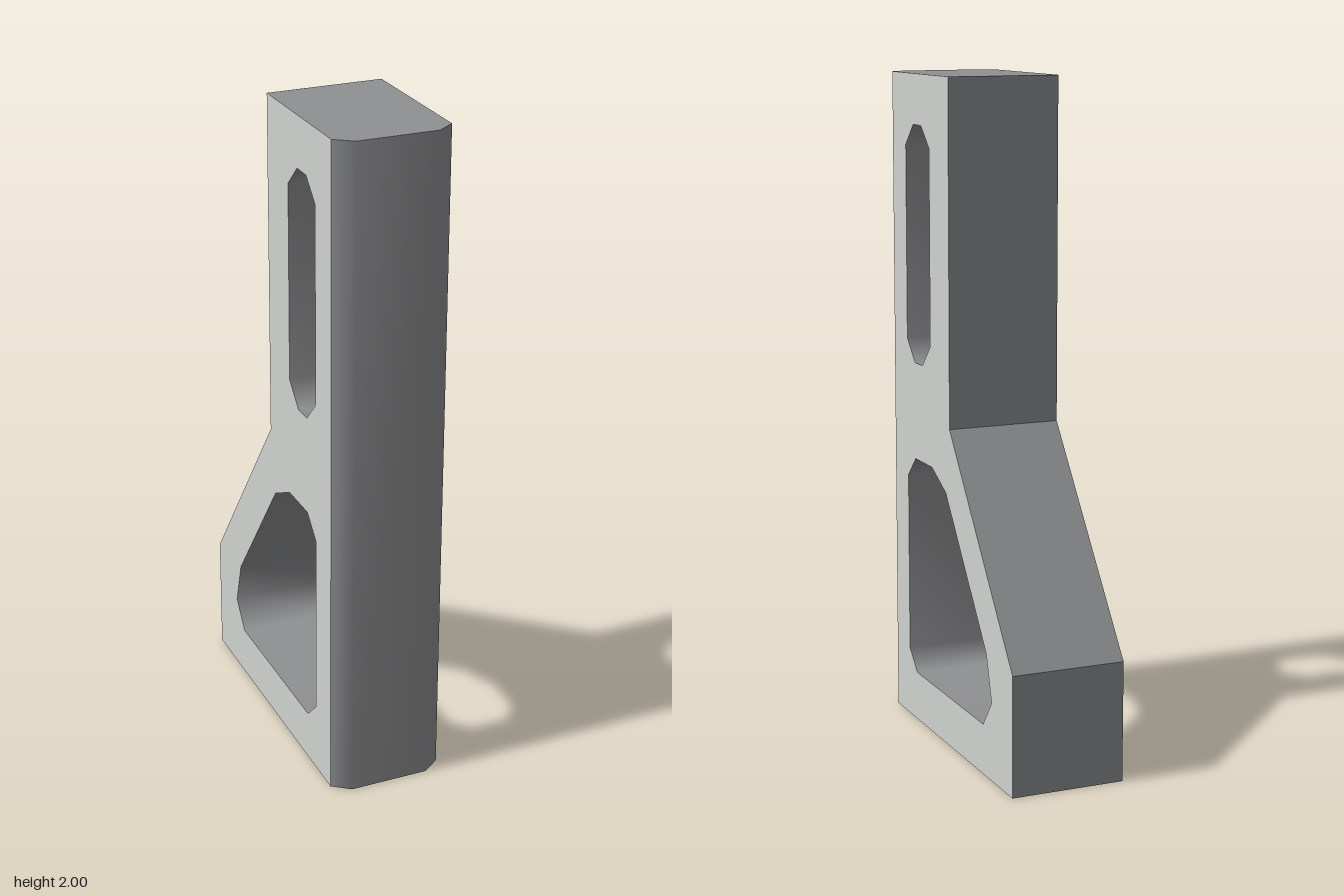
import * as THREE from 'three';
import { mergeVertices } from 'three/addons/utils/BufferGeometryUtils.js';

const W = 0.173;       // half width
const FRONT = 0.475;   // front plane
const SHOULDER = 0.436; // where the bevelled front starts
const REAR = -0.012;   // back of the upright

// Profiles in the side plane as [z, y]
const back = [[-0.475, 0], [-0.475, 0.36], [REAR, 0.977], [REAR, 2]];
const outline = [[SHOULDER, 0], ...back, [SHOULDER, 2]];
const slot = [[0.328, 1.2], [0.328, 1.787], [0.265, 1.85], [0.203, 1.85],
  [0.138, 1.787], [0.138, 1.2], [0.203, 1.133], [0.265, 1.133]];
const window = [[0.328, 0.215], [0.328, 0.772], [0.265, 0.835], [0.13, 0.835], [0.02, 0.78],
  [-0.285, 0.373], [-0.325, 0.235], [-0.262, 0.152], [0.265, 0.152]];
// Front bevel in plan as [x, z]
const bevel = [[-W, SHOULDER], [-0.12, FRONT], [0.12, FRONT], [W, SHOULDER]];

// Sweeps a path of points along a vector, with smooth or flat shading
function band(path, along, smooth) {
  const pos = [];
  for (let i = 0; i < path.length - 1; i++) {
    const a = path[i], b = path[i + 1];
    const c = b.clone().add(along), d = a.clone().add(along);
    for (const p of [a, b, c, a, c, d]) pos.push(p.x, p.y, p.z);
  }
  let g = new THREE.BufferGeometry();
  g.setAttribute('position', new THREE.Float32BufferAttribute(pos, 3));
  if (smooth) g = mergeVertices(g);
  g.computeVertexNormals();
  return g;
}

const shapeOf = (pts, sx, sy, Type = THREE.Shape) =>
  new Type(pts.map(([a, b]) => new THREE.Vector2(a * sx, b * sy)));

export function createModel() {
  const group = new THREE.Group();
  const light = new THREE.MeshStandardMaterial({ name: 'light grey', color: 0xd0d2d0 });
  const dark = new THREE.MeshStandardMaterial({ name: 'dark grey', color: 0x909193 });
  const add = (name, geometry, material) => {
    const mesh = new THREE.Mesh(geometry, material);
    mesh.name = name;
    group.add(mesh);
  };
  const across = new THREE.Vector3(2 * W, 0, 0);
  const sidePoints = (pts) => pts.map(([z, y]) => new THREE.Vector3(-W, y, z));

  // Side plates with both openings
  for (const s of [1, -1]) {
    const shape = shapeOf(outline, -s, 1);
    shape.holes = [slot, window].map((h) => shapeOf(h, -s, 1, THREE.Path));
    const g = new THREE.ShapeGeometry(shape).rotateY(s * Math.PI / 2).translate(s * W, 0, 0);
    add(s > 0 ? 'leftSide' : 'rightSide', g, light);
  }

  // Back, sloping brace and foot
  add('backFaces', band(sidePoints(back), across, false), dark);

  // Opening walls, facing into the openings
  add('slotWall', band(sidePoints([...slot, slot[0]]), across, true), dark);
  add('windowWall', band(sidePoints([...window, window[0]]), across, true), dark);

  // Bevelled front
  const frontPath = bevel.map(([x, z]) => new THREE.Vector3(x, 0, z));
  add('front', band(frontPath, new THREE.Vector3(0, 2, 0), true), dark);

  // Top and bottom caps
  const cap = (rear) => [...bevel, [W, rear], [-W, rear]];
  add('topCap', new THREE.ShapeGeometry(shapeOf(cap(REAR), 1, -1))
    .rotateX(-Math.PI / 2).translate(0, 2, 0), dark);
  add('base', new THREE.ShapeGeometry(shapeOf(cap(-0.475), 1, 1)).rotateX(Math.PI / 2), dark);
  return group;
}
